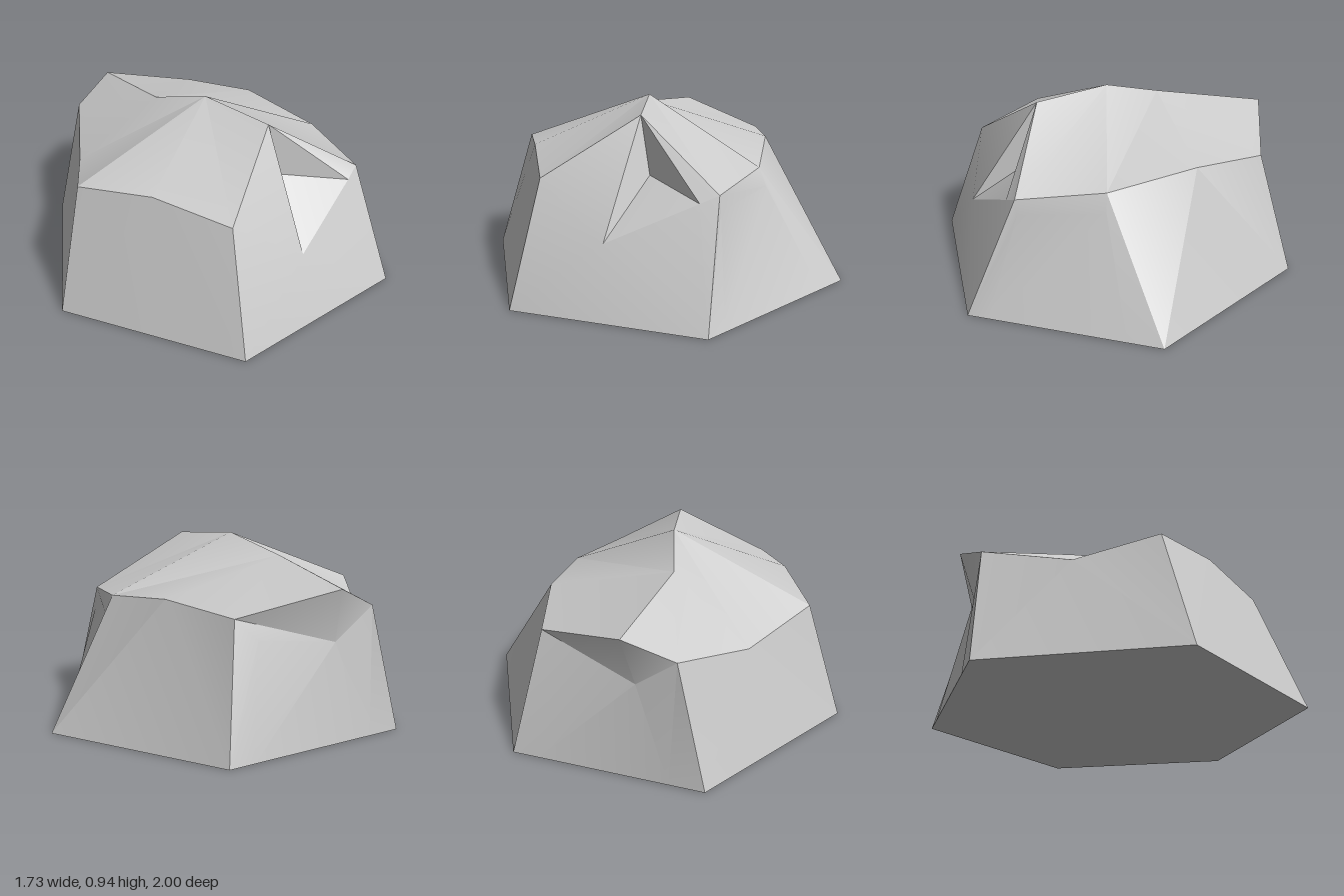
import * as THREE from 'three';
import { toCreasedNormals } from 'three/addons/utils/BufferGeometryUtils.js';

// Corner points of the boulder
const P = {
  // hexagonal foot
  b0: [0, 0, 1], b1: [0.866, 0, 0.5], b2: [0.866, 0, -0.5],
  b3: [0, 0, -1], b4: [-0.866, 0, -0.5], b5: [-0.866, 0, 0.5],
  // shoulder ring, counter-clockwise from the front
  front: [-0.03, 0.62, 0.77], right: [0.71, 0.6, 0.28], rightBack: [0.58, 0.63, -0.14],
  backMid: [0.29, 0.68, -0.52], back: [-0.03, 0.64, -0.8], overhang: [-0.53, 0.76, -0.72],
  leftBack: [-0.71, 0.65, -0.54], leftMid: [-0.72, 0.555, -0.08],
  left: [-0.73, 0.65, 0.35], frontMid: [-0.38, 0.69, 0.56],
  // crown ridge
  c1: [0.22, 0.91, 0.335], c2: [-0.05, 0.94, 0.04], c3: [-0.29, 0.845, -0.18],
  // chipped pocket
  n1: [0.29, 0.62, 0.34], n2: [0.65, 0.56, 0.35], n3: [0.34, 0.36, 0.68],
  // inset panel on the +x side
  r0: [0.866, 0, 0.39], r1: [0.71, 0.52, 0.27], r2: [0.62, 0.54, -0.15], r3: [0.866, 0, -0.32],
  // inset panel on the back left side
  q0: [-0.12, 0, -0.93], q1: [-0.14, 0.54, -0.79], q2: [-0.52, 0.488, -0.627], q3: [-0.71, 0, -0.59],
};

// Faces as fans of named corners
const PARTS = {
  foot: ['b0 b1 b2 b3 b4 b5'],
  crown: [
    'c2 c1 right rightBack', 'c3 c2 rightBack backMid', 'c3 backMid back overhang',
    'c3 overhang leftBack leftMid', 'c2 c3 leftMid left', 'c2 left frontMid', 'c2 frontMid front c1',
  ],
  leftSides: ['frontMid left b5 b0 front', 'leftMid leftBack b4 b5 left'],
  backSide: ['backMid rightBack b2 b3 back'],
  frontSide: ['b0 n3 front', 'b0 b1 n3', 'b1 n2 n3', 'b1 right n2', 'front n3 c1'],
  pocket: ['c1 n3 n1', 'n1 n3 n2', 'c1 n1 n2 right'],
  rightSide: ['b1 right r1 r0', 'right rightBack r2 r1', 'rightBack b2 r3 r2', 'r0 r1 r2 r3'],
  backLeftSide: [
    'b3 back q1 q0', 'back overhang q2 q1', 'overhang leftBack q2', 'leftBack b4 q3 q2', 'q0 q1 q2 q3',
  ],
};

// Turns the face lists into triangles that all look away from the core
function boulderGeometry(faces) {
  const core = new THREE.Vector3(0, 0.1, 0);
  const positions = [];
  const normal = new THREE.Vector3();
  for (const face of faces) {
    const pts = face.split(' ').map((name) => new THREE.Vector3(...P[name]));
    for (let i = 1; i < pts.length - 1; i++) {
      let [a, b, c] = [pts[0], pts[i], pts[i + 1]];
      new THREE.Triangle(a, b, c).getNormal(normal);
      if (normal.dot(a.clone().sub(core)) < 0) [b, c] = [c, b];
      for (const v of [a, b, c]) positions.push(v.x, v.y, v.z);
    }
  }
  const geometry = new THREE.BufferGeometry();
  geometry.setAttribute('position', new THREE.Float32BufferAttribute(positions, 3));
  geometry.computeVertexNormals();
  return toCreasedNormals(geometry, 0.45);
}

export function createModel() {
  const group = new THREE.Group();
  group.name = 'boulder';
  const stone = new THREE.MeshStandardMaterial({ color: 0xcccccc });
  for (const [name, faces] of Object.entries(PARTS)) {
    const mesh = new THREE.Mesh(boulderGeometry(faces), stone);
    mesh.name = name;
    group.add(mesh);
  }
  return group;
}
